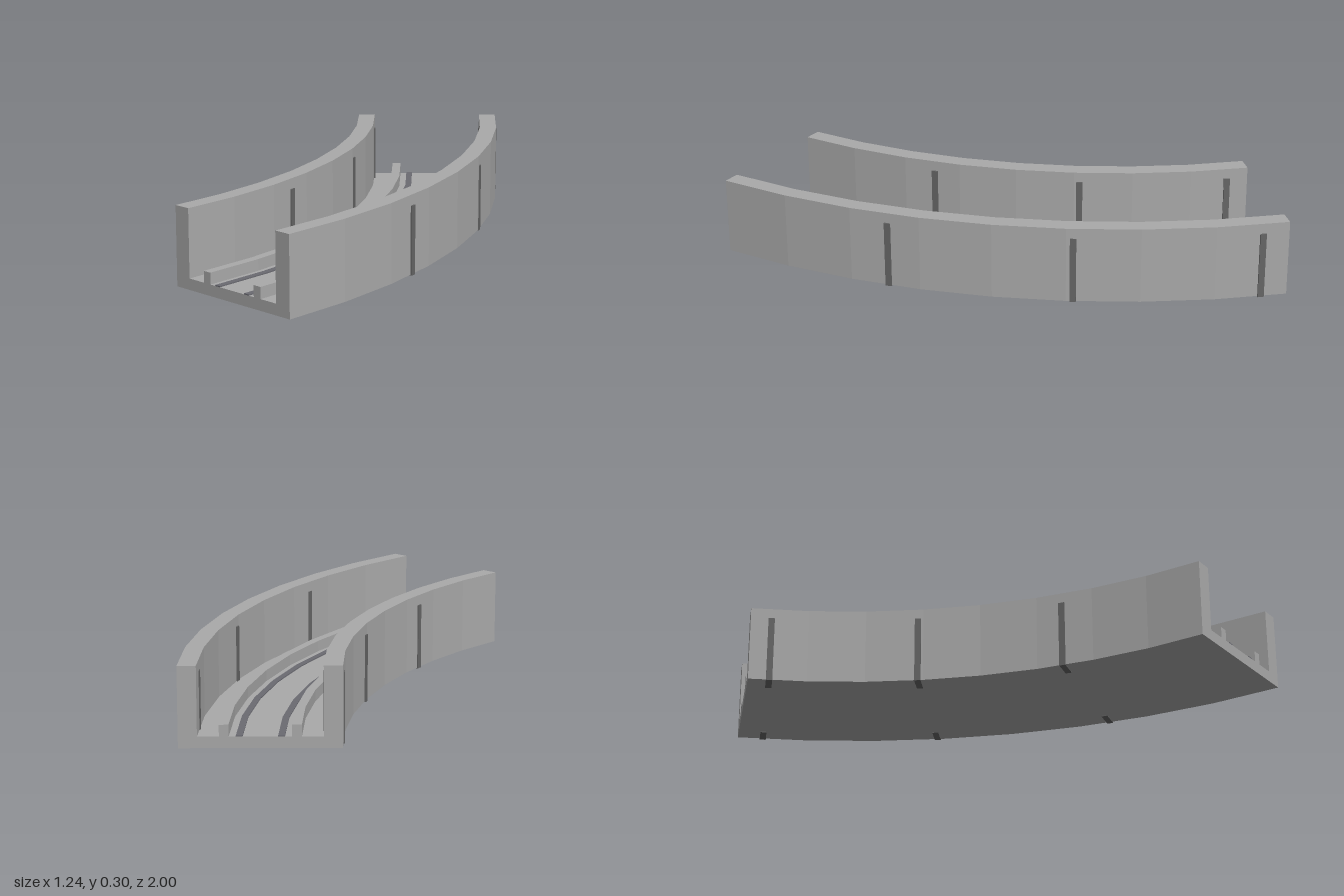
import * as THREE from 'three';

const ARC = Math.PI / 4, STEPS = 8;
const INNER = 2.251, OUTER = 2.828, WALL = 0.067;
const BASE = 0.003;

// Faceted ring sector between two radii, from height y0 to y1
function sector(r0, r1, y0, y1) {
  const pts = [];
  for (let i = 0; i <= STEPS; i++) {
    const a = ARC * i / STEPS;
    pts.push(new THREE.Vector2(r1 * Math.cos(a), r1 * Math.sin(a)));
  }
  for (let i = STEPS; i >= 0; i--) {
    const a = ARC * i / STEPS;
    pts.push(new THREE.Vector2(r0 * Math.cos(a), r0 * Math.sin(a)));
  }
  const g = new THREE.ExtrudeGeometry(new THREE.Shape(pts), { depth: y1 - y0, bevelEnabled: false });
  return g.rotateX(-Math.PI / 2).translate(0, y0, 0);
}

export function createModel() {
  const material = (name, color) => {
    const m = new THREE.MeshStandardMaterial({ color });
    m.name = name;
    return m;
  };
  const concrete = material('light grey', 0xaaaaaa);
  const stripe = material('slate grey', 0x6b6b72);
  const dark = material('dark grey', 0x666666);

  const model = new THREE.Group();
  model.name = 'curvedTrackChannel';
  const add = (name, geometry, mat) => {
    const mesh = new THREE.Mesh(geometry, mat);
    mesh.name = name;
    // centre of the curve
    mesh.position.set(-2.211, 0, 1);
    model.add(mesh);
    return mesh;
  };

  // Floor and side walls
  add('floor', sector(INNER + WALL, OUTER - WALL, BASE, 0.045), concrete);
  add('innerWall', sector(INNER, INNER + WALL, BASE, 0.3), concrete);
  add('outerWall', sector(OUTER - WALL, OUTER, BASE, 0.3), concrete);

  // Guide rails and floor stripes, mirrored about the centre line
  const mid = (INNER + OUTER) / 2;
  for (const [side, s] of [['inner', -1], ['outer', 1]]) {
    const rail = mid + s * 0.128, line = mid + s * 0.074;
    add(side + 'GuideRail', sector(rail - 0.017, rail + 0.017, 0.045, 0.088), concrete);
    add(side + 'FloorStripe', sector(line - 0.012, line + 0.012, 0.045, 0.049), stripe);
  }

  // Wall joints, showing on both faces and the underside of each wall
  for (const [side, r] of [['inner', INNER + WALL / 2], ['outer', OUTER - WALL / 2]]) {
    for (let i = 1; i <= 3; i++) {
      const a = 0.25 * i;
      const g = new THREE.BoxGeometry(0.076, 0.26, 0.024).translate(r - 0.002, 0.13, 0);
      add(side + 'WallJoint' + i, g, dark).rotation.y = a;
    }
  }
  return model;
}
